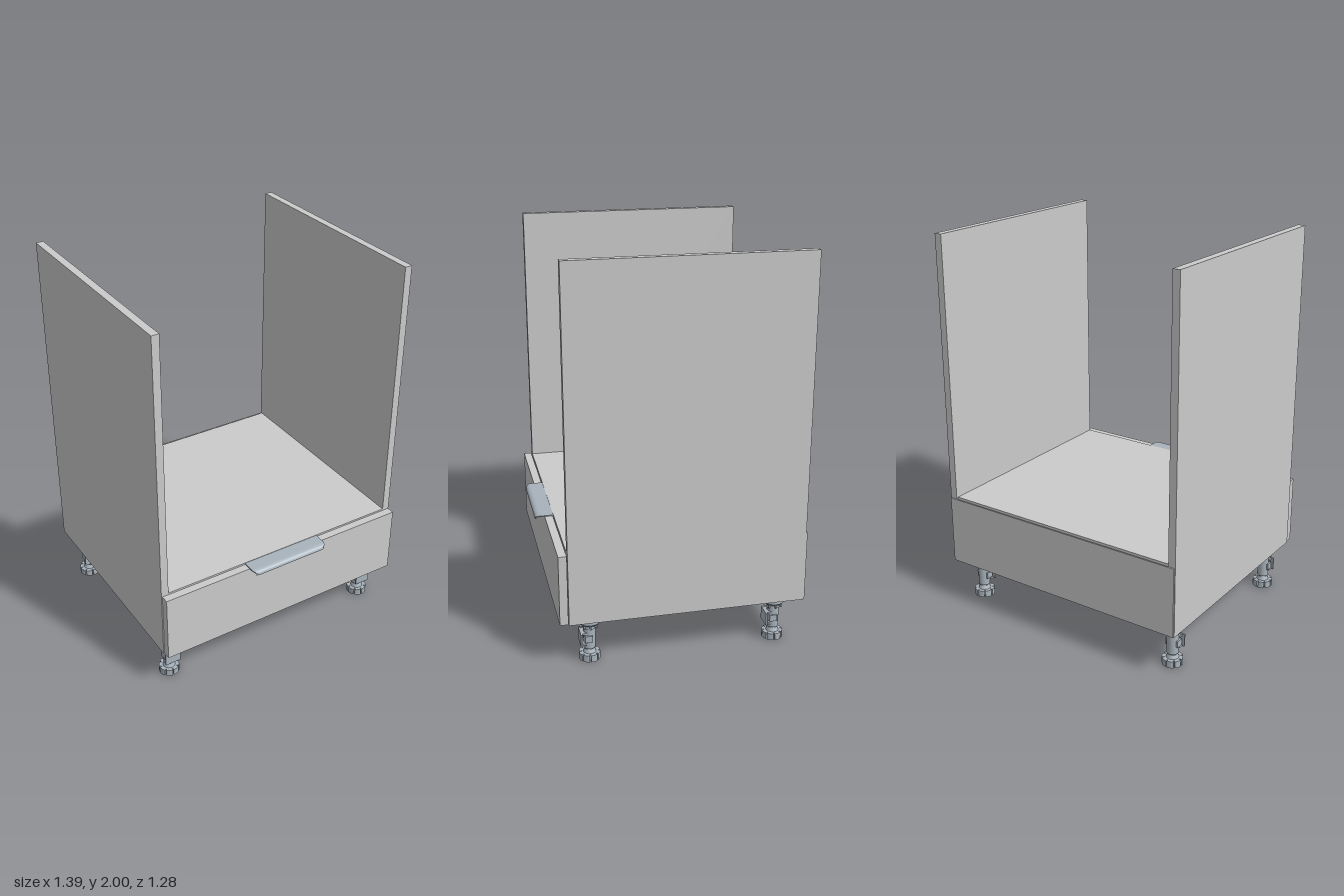
import * as THREE from 'three';

const grey = new THREE.MeshStandardMaterial({ color: 0xcccccc });
const steel = new THREE.MeshStandardMaterial({ color: 0xa9b3bc, side: THREE.DoubleSide });

function add(parent, name, geometry, material, x = 0, y = 0, z = 0) {
  const mesh = new THREE.Mesh(geometry, material);
  mesh.name = name;
  mesh.position.set(x, y, z);
  parent.add(mesh);
  return mesh;
}

// Box given by its lower and upper limits on each axis
function panel(parent, name, [x0, x1], [y0, y1], [z0, z1], material = grey) {
  const geometry = new THREE.BoxGeometry(x1 - x0, y1 - y0, z1 - z0);
  return add(parent, name, geometry, material, (x0 + x1) / 2, (y0 + y1) / 2, (z0 + z1) / 2);
}

// Upright cylinder between two heights
function drum(parent, name, rBottom, rTop, y0, y1) {
  return add(parent, name, new THREE.CylinderGeometry(rTop, rBottom, y1 - y0, 24), steel, 0, (y0 + y1) / 2, 0);
}

// Disc with evenly spaced grip notches in its rim
function notchedDisc(radius, depth, height, notches) {
  const shape = new THREE.Shape();
  const step = (Math.PI * 2) / notches;
  for (let i = 0; i < notches; i++) {
    for (const [t, r] of [[0, radius], [0.28, radius], [0.56, radius], [0.82, radius], [0.84, radius - depth], [0.98, radius - depth]]) {
      const a = (i + t) * step;
      if (i === 0 && t === 0) shape.moveTo(r, 0);
      else shape.lineTo(r * Math.cos(a), r * Math.sin(a));
    }
  }
  const geometry = new THREE.ExtrudeGeometry(shape, { depth: height, bevelEnabled: false });
  return geometry.rotateX(-Math.PI / 2);
}

// Adjustable leg with foot, stem, collar and plinth clip
function createLeg() {
  const leg = new THREE.Group();
  leg.name = 'leg';
  add(leg, 'foot', notchedDisc(0.053, 0.012, 0.036, 8), steel);
  drum(leg, 'footNeck', 0.032, 0.024, 0.036, 0.055);
  drum(leg, 'screw', 0.022, 0.022, 0.04, 0.08);
  drum(leg, 'stem', 0.03, 0.03, 0.062, 0.19);
  drum(leg, 'collar', 0.036, 0.036, 0.172, 0.2);
  drum(leg, 'mountingFlange', 0.044, 0.057, 0.192, 0.205);
  drum(leg, 'mountingPlate', 0.057, 0.057, 0.205, 0.236);
  // Ribs below the flange
  for (let i = 0; i < 4; i++) {
    const rib = add(leg, 'rib', new THREE.BoxGeometry(0.096, 0.022, 0.006), steel, 0, 0.187, 0);
    rib.rotation.y = (i * Math.PI) / 4;
  }
  // Clip facing forward
  panel(leg, 'clipPlate', [-0.042, 0.042], [0.083, 0.151], [0.04, 0.048], steel);
  for (const y of [0.083, 0.141])
    panel(leg, 'clipArm', [-0.03, 0.03], [y, y + 0.01], [0.015, 0.042], steel);
  panel(leg, 'clipBand', [-0.036, 0.036], [0.1, 0.135], [-0.012, 0.026], steel);
  return leg;
}

// Bent lip handle: a thin section swept across the width, narrowing at its lip
function createHandle() {
  const section = new THREE.Shape();
  section.moveTo(0.55, 0.603);
  section.lineTo(0.61, 0.603);
  section.quadraticCurveTo(0.636, 0.603, 0.637, 0.585);
  section.lineTo(0.641, 0.585);
  section.quadraticCurveTo(0.641, 0.608, 0.61, 0.608);
  section.lineTo(0.55, 0.608);
  section.closePath();
  const geometry = new THREE.ExtrudeGeometry(section, { depth: 2, bevelEnabled: false, curveSegments: 10 });
  const p = geometry.attributes.position;
  for (let i = 0; i < p.count; i++) {
    const z = p.getX(i), y = p.getY(i);
    const t = Math.min(1, Math.max(0, (z - 0.61) / 0.031));
    const halfWidth = 0.19 + 0.029 * Math.sqrt(1 - t * t);
    p.setXYZ(i, (1 - p.getZ(i)) * halfWidth, y, z);
  }
  geometry.computeVertexNormals();
  return geometry;
}

export function createModel() {
  const model = new THREE.Group();
  model.name = 'ovenCabinet';

  // Carcass
  for (const s of [-1, 1]) {
    const x = s < 0 ? [-0.694, -0.655] : [0.655, 0.694];
    panel(model, s < 0 ? 'rightSidePanel' : 'leftSidePanel', x, [0.236, 2], [-0.635, 0.55]);
  }
  panel(model, 'bottomPanel', [-0.655, 0.655], [0.236, 0.275], [-0.625, 0.55]);
  panel(model, 'ovenShelf', [-0.655, 0.655], [0.571, 0.61], [-0.625, 0.55]);
  panel(model, 'backPanel', [-0.69, 0.69], [0.238, 0.603], [-0.642, -0.636]);

  // Drawer front and its handle
  panel(model, 'drawerFront', [-0.69, 0.69], [0.24, 0.603], [0.553, 0.594]);
  add(model, 'handle', createHandle(), steel);

  // Legs
  for (const x of [-0.608, 0.608]) {
    for (const z of [0.44, -0.507]) {
      const leg = createLeg();
      leg.position.set(x, 0, z);
      model.add(leg);
    }
  }
  return model;
}
